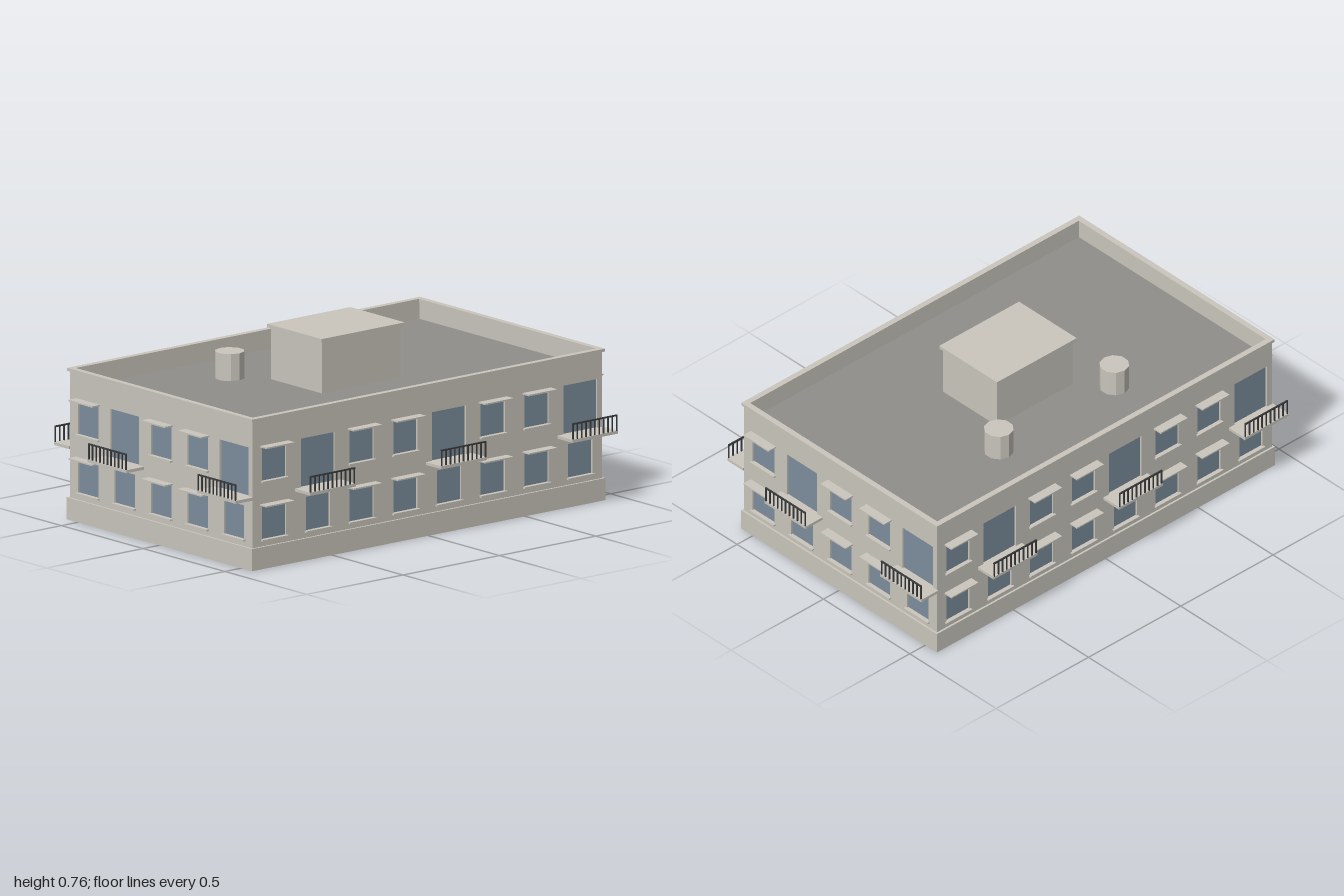
import * as THREE from 'three';

const mat = (name, color, side = THREE.FrontSide) => {
  const m = new THREE.MeshStandardMaterial({ color, side });
  m.name = name;
  return m;
};

export function createModel() {
  const plaster = mat('plaster', 0xcac6bd);
  const roofGrey = mat('roofGrey', 0x8f8e8b);
  const glass = mat('glass', 0x7c8e9c, THREE.DoubleSide);
  const iron = mat('iron', 0x3a3b3c);

  const model = new THREE.Group();
  model.name = 'apartmentBuilding';

  const add = (parent, name, geometry, material, x = 0, y = 0, z = 0) => {
    const mesh = new THREE.Mesh(geometry, material);
    mesh.name = name;
    mesh.position.set(x, y, z);
    parent.add(mesh);
    return mesh;
  };
  // Box given by its centre x, vertical range and depth range
  const slab = (parent, name, material, x, width, y0, y1, z0, z1) =>
    add(parent, name, new THREE.BoxGeometry(width, y1 - y0, z1 - z0), material, x, (y0 + y1) / 2, (z0 + z1) / 2);

  const rectPath = (T, w, x, y0, y1) => {
    const p = new T();
    p.moveTo(x - w / 2, y0);
    p.lineTo(x + w / 2, y0);
    p.lineTo(x + w / 2, y1);
    p.lineTo(x - w / 2, y1);
    p.closePath();
    return p;
  };

  // Hollow rectangular band, used for plinth and coping
  const ring = (name, x, z, inset, y0, y1) => {
    const shape = rectPath(THREE.Shape, 2 * x, 0, -z, z);
    shape.holes.push(rectPath(THREE.Path, 2 * (x - inset), 0, -z + inset, z - inset));
    const g = new THREE.ExtrudeGeometry(shape, { depth: y1 - y0, bevelEnabled: false });
    g.rotateX(-Math.PI / 2);
    add(model, name, g, plaster, 0, y0, 0);
  };

  const HX = 0.907, HZ = 0.558, T = 0.015;
  const BASE = 0.09, TOP = 0.605, ROOF = 0.535;

  // Balcony: slab with a row of bars on its outer edge
  function balcony(parent, x, d) {
    const g = new THREE.Group();
    g.name = 'balcony';
    g.position.set(x, 0, d);
    parent.add(g);
    slab(g, 'balconySlab', plaster, 0, 0.238, 0.287, 0.299, 0, 0.092);
    slab(g, 'handrail', iron, 0, 0.232, 0.359, 0.365, 0.086, 0.092);
    for (let i = 0; i <= 10; i++) {
      slab(g, 'railingBar', iron, -0.1135 + i * 0.0227, 0.005, 0.299, 0.36, 0.0865, 0.0915);
    }
  }

  // One wall facing +z at distance d, with two rows of n windows; every third bay has a balcony door
  function facade(name, half, d, n, wallHalf, angle) {
    const g = new THREE.Group();
    g.name = name;
    g.rotation.y = angle;
    model.add(g);
    const wall = rectPath(THREE.Shape, 2 * wallHalf, 0, BASE, TOP);
    const pitch = (2 * half) / n;

    const opening = (x, w, y0, y1) => {
      wall.holes.push(rectPath(THREE.Path, w, x, y0, y1));
      slab(g, 'windowPane', glass, x, w, y0, y1, d - 0.012, d - 0.008);
    };
    const sill = (x, y) => slab(g, 'windowSill', plaster, x, 0.138, y - 0.007, y, d - 0.008, d + 0.011);
    const hood = (x, y) => slab(g, 'windowHood', plaster, x, 0.146, y, y + 0.006, d - 0.004, d + 0.041);

    for (let i = 0; i < n; i++) {
      const x = (i - (n - 1) / 2) * pitch;
      const door = i % 3 === 1;
      opening(x, 0.125, 0.117, 0.256);
      sill(x, 0.118);
      if (door) {
        opening(x, 0.175, 0.299, 0.497);
        balcony(g, x, d);
      } else {
        hood(x, 0.257);
        opening(x, 0.125, 0.355, 0.497);
        sill(x, 0.356);
        hood(x, 0.495);
      }
    }
    add(g, 'wall', new THREE.ExtrudeGeometry(wall, { depth: T, bevelEnabled: false }), plaster, 0, 0, d - T);
  }

  facade('frontFacade', HX, HZ, 8, HX, 0);
  facade('backFacade', HX, HZ, 8, HX, Math.PI);
  facade('leftFacade', HZ, HX, 5, HZ - T, Math.PI / 2);
  facade('rightFacade', HZ, HX, 5, HZ - T, -Math.PI / 2);

  ring('plinth', HX + 0.009, HZ + 0.009, T, 0, BASE);
  ring('coping', HX + 0.008, HZ + 0.008, 0.025, TOP, 0.617);

  // Flat roof behind the parapet, with stair house and two vents
  add(model, 'roof', new THREE.BoxGeometry(2 * (HX - T), 0.01, 2 * (HZ - T)), roofGrey, 0, ROOF - 0.005, 0);
  slab(model, 'stairHouse', plaster, 0, 0.41, ROOF, 0.746, -0.156, 0.156);
  slab(model, 'stairHouseLid', plaster, 0, 0.432, 0.746, 0.76, -0.167, 0.167);
  const ventShape = new THREE.CylinderGeometry(0.06, 0.06, 0.645 - ROOF, 10).toNonIndexed();
  ventShape.computeVertexNormals();
  for (const s of [-1, 1]) {
    add(model, 'roofVent', ventShape, plaster, s * 0.313, (ROOF + 0.645) / 2, -0.281);
  }
  return model;
}
